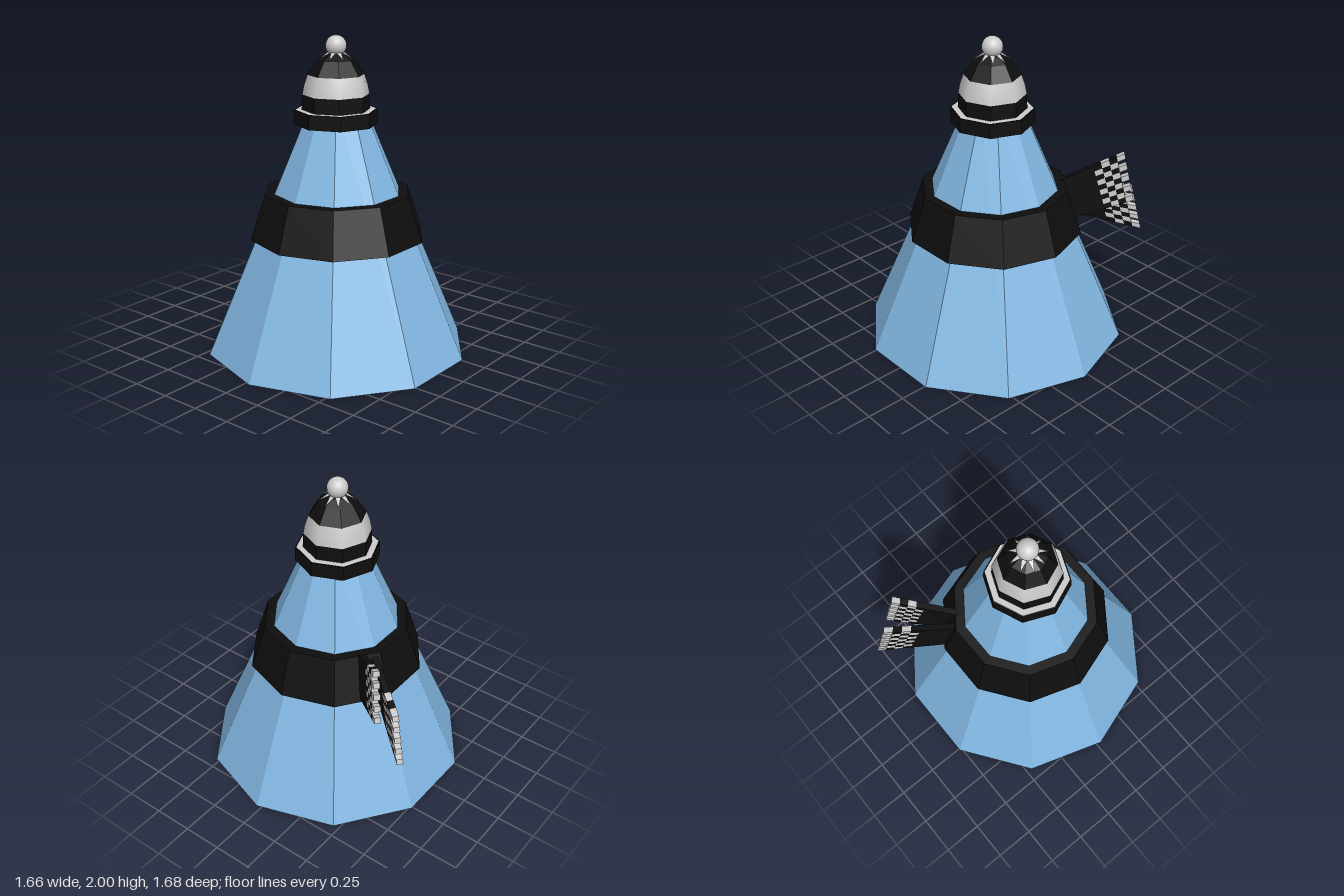
import * as THREE from 'three';
import { mergeGeometries } from 'three/addons/utils/BufferGeometryUtils.js';

const mat = (color, flatShading = true) =>
  new THREE.MeshStandardMaterial({ color, flatShading, side: THREE.DoubleSide });
const BLUE = mat(0x82b7e2), BLACK = mat(0x0e0e0e), WHITE = mat(0xcccccc), SOFT_WHITE = mat(0xcccccc, false);

function add(parent, name, geometry, material) {
  const mesh = new THREE.Mesh(geometry, material);
  mesh.name = name;
  parent.add(mesh);
  return mesh;
}

// Faceted solid or band of revolution from [radius, y] pairs, listed upward on the outside
const lathe = (points, sides) =>
  new THREE.LatheGeometry(points.map(([r, y]) => new THREE.Vector2(r, y)), sides);

// Six-sided block from four corners of a sheet, thickened along n
function block(a, b, c, d, n) {
  const corners = [a, b, c, d].map(p => p.clone().sub(n))
    .concat([a, b, c, d].map(p => p.clone().add(n)));
  const g = new THREE.BufferGeometry();
  g.setAttribute('position', new THREE.Float32BufferAttribute(corners.flatMap(p => p.toArray()), 3));
  g.setIndex([0, 2, 1, 0, 3, 2, 4, 5, 6, 4, 6, 7, 0, 1, 5, 0, 5, 4,
    1, 2, 6, 1, 6, 5, 2, 3, 7, 2, 7, 6, 3, 0, 4, 3, 4, 7]);
  const flat = g.toNonIndexed();
  flat.computeVertexNormals();
  return flat;
}

// Scarf end: plain strip, three checked columns, then a fringe on every other row
function scarfTail(name, rootLow, rootHigh, tipLow, tipHigh) {
  const [rl, rh, tl, th] = [rootLow, rootHigh, tipLow, tipHigh].map(p => new THREE.Vector3(...p));
  const at = (u, v) => rl.clone().lerp(tl, u).lerp(rh.clone().lerp(th, u), v);
  const n = tl.clone().sub(rl).cross(rh.clone().sub(rl)).normalize().multiplyScalar(0.02);
  const cell = (u0, u1, v0, v1) => block(at(u0, v0), at(u1, v0), at(u1, v1), at(u0, v1), n);
  const rows = 9, cols = 4, start = 0.54, step = (1 - start) / cols;
  const dark = [cell(0, start, 0, 1)], light = [];
  for (let c = 0; c < cols; c++) {
    for (let r = 0; r < rows; r++) {
      const isLight = (r + c) % 2 === 1;
      if (c === cols - 1 && !isLight) continue;
      const u = start + c * step;
      (isLight ? light : dark).push(cell(u, u + step, r / rows, (r + 1) / rows));
    }
  }
  // Extra fringe strands along both outer edges
  for (const r of [0, rows - 1]) {
    if ((r + cols - 1) % 2 === 0) light.push(cell(1 - step, 1, r / rows, (r + 1) / rows));
  }
  const group = new THREE.Group();
  group.name = name;
  add(group, 'tailCloth', mergeGeometries(dark), BLACK);
  add(group, 'tailChecksAndFringe', mergeGeometries(light), WHITE);
  return group;
}

function createHat() {
  const hat = new THREE.Group();
  hat.name = 'hat';
  const sides = 8;
  // Turned-up brim
  add(hat, 'brim', lathe([[0.262, 1.455], [0.258, 1.545]], sides), BLACK);
  add(hat, 'brimTopEdge', lathe([[0.258, 1.545], [0.25, 1.546]], sides), BLACK);
  add(hat, 'brimTop', lathe([[0.25, 1.546], [0.2, 1.546]], sides), WHITE);
  add(hat, 'brimUnderside', lathe([[0.2, 1.456], [0.262, 1.455]], sides), WHITE);
  // Striped dome
  add(hat, 'lowerStripe', lathe([[0.213, 1.5], [0.208, 1.64]], sides), BLACK);
  add(hat, 'middleStripe', lathe([[0.208, 1.64], [0.196, 1.7], [0.175, 1.76]], sides), SOFT_WHITE);
  add(hat, 'crown', lathe([[0.175, 1.76], [0.115, 1.85], [0.06, 1.885], [0, 1.9]], sides), BLACK);
  // Strands radiating from under the pompom
  const strands = [];
  const point = (r, y, t) => [r * Math.sin(t), y, r * Math.cos(t)];
  const count = 9;
  for (let i = 0; i < count; i++) {
    const t = Math.PI + i * 2 * Math.PI / count, h = Math.PI / count;
    strands.push(...point(0.05, 1.898, t - h), ...point(0.118, 1.862, t), ...point(0.05, 1.898, t + h));
  }
  const star = new THREE.BufferGeometry();
  star.setAttribute('position', new THREE.Float32BufferAttribute(strands, 3));
  star.computeVertexNormals();
  add(hat, 'pompomStrands', star, WHITE);
  add(hat, 'pompom', new THREE.SphereGeometry(0.065, 20, 14), SOFT_WHITE).position.y = 1.935;
  hat.position.set(0.032, 0, 0.015);
  return hat;
}

export function createModel() {
  const model = new THREE.Group();
  model.name = 'coneWithHatAndScarf';

  // Ten-sided cone body, closed below and running up into the hat
  const body = add(model, 'body', lathe([[0, 0], [0.84, 0], [0.16, 1.6], [0, 1.6]], 10), BLUE);
  body.position.x = 0.032;

  // Scarf loop
  const loop = add(model, 'scarfLoop',
    lathe([[0.5, 0.74], [0.56, 0.74], [0.465, 1.025], [0.38, 1.025]], 10), BLACK);
  loop.position.x = 0.032;

  // Scarf ends blowing back to the right
  model.add(scarfTail('lowerScarfTail',
    [-0.44, 0.75, -0.19], [-0.35, 1.01, -0.14], [-0.82, 0.605, -0.5], [-0.75, 0.92, -0.465]));
  model.add(scarfTail('upperScarfTail',
    [-0.38, 0.75, -0.28], [-0.31, 1.015, -0.21], [-0.68, 0.88, -0.54], [-0.625, 1.21, -0.49]));

  model.add(createHat());
  return model;
}
